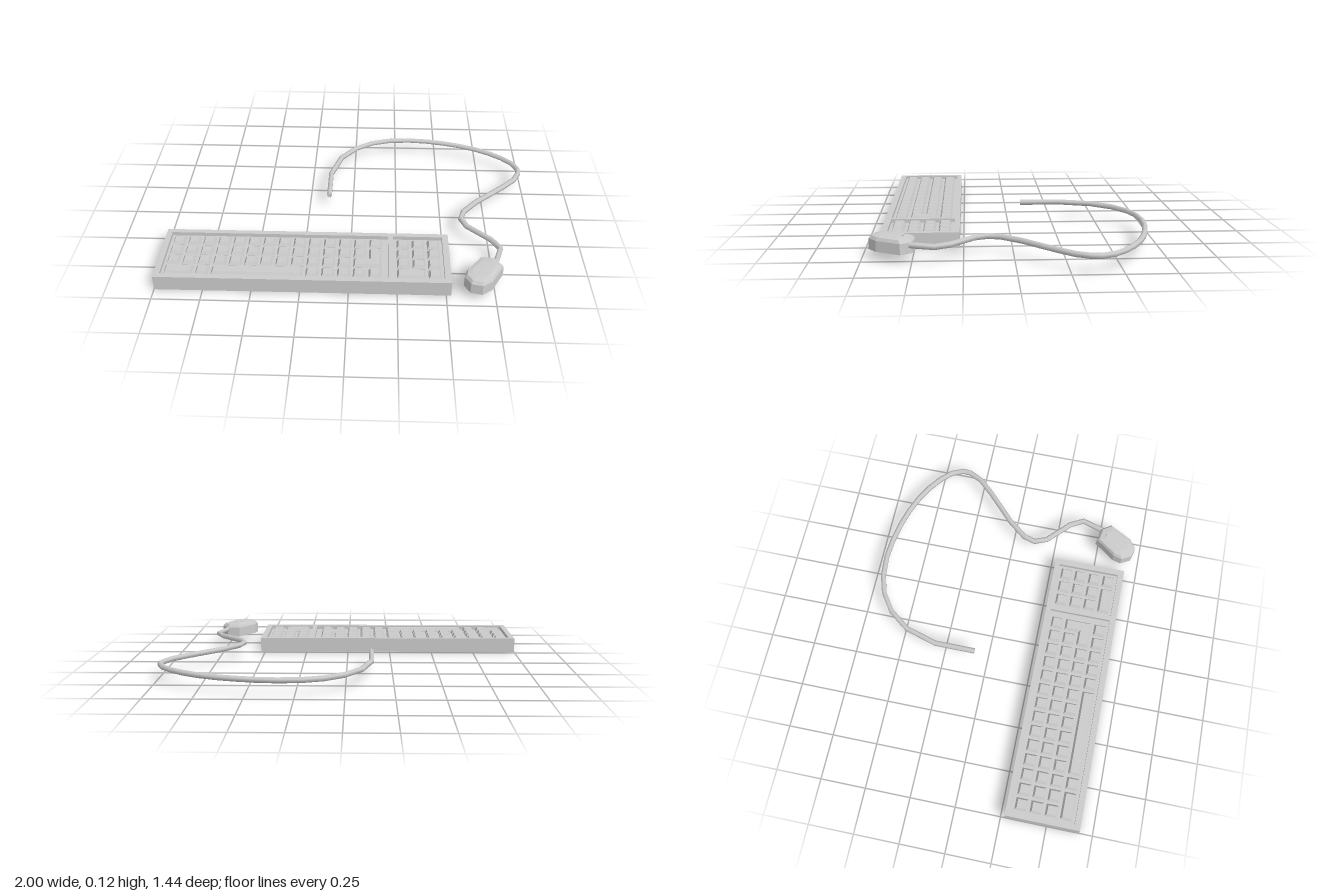
import * as THREE from 'three';

const material = new THREE.MeshStandardMaterial({ color: 0xcccccc, flatShading: true });
const smooth = new THREE.MeshStandardMaterial({ color: 0xcccccc });

function add(parent, name, geometry, mat = material) {
  const mesh = new THREE.Mesh(geometry, mat);
  mesh.name = name;
  parent.add(mesh);
  return mesh;
}

// Plan outlines use [x, z]; extrusions rise along y.
const outline = (Type, pts) => new Type(pts.map(([x, z]) => new THREE.Vector2(x, -z)));
const rect = (x0, x1, z0, z1) => [[x0, z0], [x0, z1], [x1, z1], [x1, z0]];

const FLOOR = 0.062, TOP = 0.083;
const X0 = -0.922, Z0 = 0.348, PITCH = 0.0813, HALF = 0.023;

// Key with sloping sides standing on the tray floor
function key(parent, pts, name = 'key') {
  const geo = new THREE.ExtrudeGeometry(outline(THREE.Shape, pts), {
    depth: 0.001, bevelSize: 0.01, bevelThickness: 0.018, bevelSegments: 1,
  });
  geo.rotateX(-Math.PI / 2);
  geo.translate(0, FLOOR, 0);
  add(parent, name, geo);
}

// Key spanning columns c0..c1 of a row
function rowKey(parent, x0, row, c0, c1 = c0, name = 'key') {
  const z = Z0 + row * PITCH * 1.008;
  key(parent, rect(x0 + c0 * PITCH - HALF, x0 + c1 * PITCH + HALF, z - HALF, z + HALF), name);
}

function createKeyboard() {
  const board = new THREE.Group();
  board.name = 'keyboard';

  // Solid base and a rim with two sunken trays
  add(board, 'base', new THREE.BoxGeometry(1.525, FLOOR, 0.405).translate(-0.2375, FLOOR / 2, 0.4725));
  const rim = outline(THREE.Shape, rect(-1, 0.525, 0.27, 0.675));
  rim.holes.push(outline(THREE.Path, rect(-0.97, 0.203, 0.298, 0.642)));
  rim.holes.push(outline(THREE.Path, rect(0.23, 0.492, 0.298, 0.642)));
  const rimGeo = new THREE.ExtrudeGeometry(rim, { depth: TOP - FLOOR, bevelEnabled: false });
  add(board, 'rim', rimGeo.rotateX(-Math.PI / 2).translate(0, FLOOR, 0));

  // Main block
  [14, 13, 12].forEach((count, row) => {
    for (let c = 0; c < count; c++) rowKey(board, X0, row, c);
  });
  rowKey(board, X0, 3, 0, 1, 'wideKey');
  rowKey(board, X0, 3, 2);
  rowKey(board, X0, 3, 3, 8, 'spaceBar');
  for (let c = 9; c < 14; c++) rowKey(board, X0, 3, c);

  // L-shaped enter key
  const xl = X0 + 12 * PITCH - HALF, xm = X0 + 13 * PITCH - HALF, xr = X0 + 13 * PITCH + HALF;
  const za = Z0 + PITCH - HALF, zb = Z0 + 2 * PITCH - HALF, zc = Z0 + 2 * PITCH + HALF;
  key(board, [[xm, za], [xm, zb], [xl, zb], [xl, zc], [xr, zc], [xr, za]], 'enterKey');

  // Number pad
  for (let row = 0; row < 3; row++) for (let c = 0; c < 3; c++) rowKey(board, 0.281, row, c);
  rowKey(board, 0.281, 3, 0, 1, 'wideKey');
  rowKey(board, 0.281, 3, 2);
  return board;
}

function createMouse() {
  const mouse = new THREE.Group();
  mouse.name = 'mouse';
  // Outline clockwise from above
  const ring = [[0.685, 0.483], [0.76, 0.496], [0.797, 0.553], [0.73, 0.676],
    [0.676, 0.716], [0.617, 0.7], [0.587, 0.646], [0.6, 0.597]];
  const cx = 0.689, cz = 0.6;
  const levels = [[0.045, 1], [0.1, 0.98], [0.116, 0.87], [0.121, 0.6]];
  const pos = [], index = [], n = ring.length;
  for (const [y, s] of levels)
    for (const [x, z] of ring) pos.push(cx + (x - cx) * s, y, cz + (z - cz) * s);
  const bottom = pos.length / 3, top = bottom + 1, last = (levels.length - 1) * n;
  pos.push(cx, 0.045, cz, cx, 0.122, cz);
  for (let i = 0; i < n; i++) {
    const j = (i + 1) % n;
    for (let k = 0; k < last; k += n) index.push(k + i, k + n + i, k + n + j, k + i, k + n + j, k + j);
    index.push(bottom, i, j, top, last + j, last + i);
  }
  const geo = new THREE.BufferGeometry();
  geo.setAttribute('position', new THREE.Float32BufferAttribute(pos, 3));
  geo.setIndex(index);
  geo.computeVertexNormals();
  add(mouse, 'mouseBody', geo);

  // Scroll wheel, aligned with the mouse's long axis
  const wheel = add(mouse, 'scrollWheel', new THREE.CylinderGeometry(0.016, 0.016, 0.012, 10).rotateZ(Math.PI / 2));
  wheel.position.set(0.713, 0.109, 0.54);
  wheel.rotation.y = -0.45;
  return mouse;
}

function createCable() {
  const cable = new THREE.Group();
  cable.name = 'cable';
  const path = [[-0.136, -0.078], [-0.136, -0.305], [-0.083, -0.484], [0.003, -0.596],
    [0.104, -0.664], [0.211, -0.697], [0.334, -0.706], [0.445, -0.697], [0.553, -0.676],
    [0.65, -0.649], [0.746, -0.611], [0.83, -0.564], [0.9, -0.512], [0.953, -0.457],
    [0.983, -0.39], [0.981, -0.345], [0.944, -0.27], [0.87, -0.192], [0.786, -0.113],
    [0.703, -0.036], [0.625, 0.061], [0.606, 0.126], [0.634, 0.195], [0.757, 0.313],
    [0.798, 0.388], [0.76, 0.51]];
  const curve = new THREE.CatmullRomCurve3(path.map(([x, z]) => new THREE.Vector3(x, 0.085, z)));
  // One tube section per path point, for a slightly angular cable
  curve.getPointAt = curve.getPoint;
  curve.getTangentAt = curve.getTangent;
  add(cable, 'cord', new THREE.TubeGeometry(curve, path.length - 1, 0.0155, 6, false), smooth);
  const cap = add(cable, 'cordEnd', new THREE.CircleGeometry(0.0155, 6));
  cap.position.set(-0.136, 0.085, -0.078);
  return cable;
}

export function createModel() {
  const model = new THREE.Group();
  model.name = 'keyboardAndMouse';
  model.add(createKeyboard(), createMouse(), createCable());
  return model;
}
